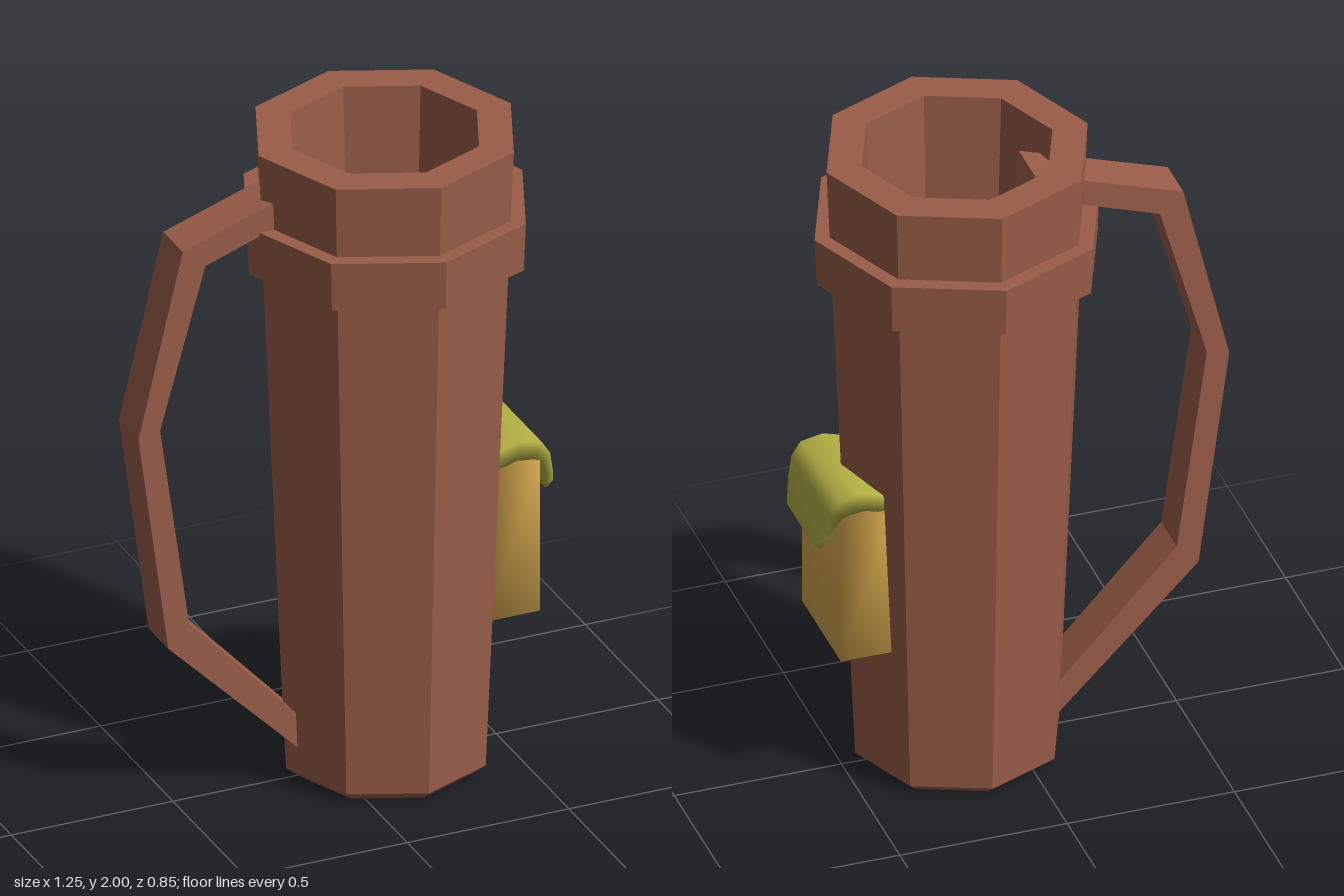
import * as THREE from 'three';
import { mergeVertices } from 'three/addons/utils/BufferGeometryUtils.js';

const v2 = ([x, y]) => new THREE.Vector2(x, y);

function part(name, geometry, material, parent) {
  const mesh = new THREE.Mesh(geometry, material);
  mesh.name = name;
  parent.add(mesh);
  return mesh;
}

// Octagonal turned shape with a corner on each axis
const octagon = (profile) => new THREE.LatheGeometry(profile.map(v2), 8);

// Box whose corners share their normals, for a soft stuffed look
function softBox(w, h, d) {
  const box = new THREE.BoxGeometry(w, h, d);
  box.deleteAttribute('normal');
  box.deleteAttribute('uv');
  const soft = mergeVertices(box);
  soft.computeVertexNormals();
  return soft;
}

// Curved flap from rows of [outer x, outer y, inner x, inner y, half width]
function flapGeometry(rows) {
  const positions = [], index = [];
  for (const [ox, oy, ix, iy, w] of rows) {
    positions.push(ox, oy, w, ox, oy, -w, ix, iy, -w, ix, iy, w);
  }
  for (let i = 0; i < rows.length - 1; i++) {
    for (let j = 0; j < 4; j++) {
      const a = i * 4 + j, b = i * 4 + (j + 1) % 4;
      index.push(a, a + 4, b, b, a + 4, b + 4);
    }
  }
  const e = (rows.length - 1) * 4;
  index.push(0, 1, 2, 0, 2, 3, e, e + 2, e + 1, e, e + 3, e + 2);
  const g = new THREE.BufferGeometry();
  g.setAttribute('position', new THREE.Float32BufferAttribute(positions, 3));
  g.setIndex(index);
  g.computeVertexNormals();
  return g;
}

export function createModel() {
  const brown = new THREE.MeshStandardMaterial({ color: 0x9a5d48 });
  brown.name = 'brown wood';
  brown.flatShading = true;
  const tan = new THREE.MeshStandardMaterial({ color: 0xd6a84e });
  tan.name = 'tan cloth';
  const olive = new THREE.MeshStandardMaterial({ color: 0xb4b044 });
  olive.name = 'olive cloth';
  olive.side = THREE.DoubleSide;

  const model = new THREE.Group();
  model.name = 'tankard';

  // Tapered hollow body with a chamfered foot
  const axis = 0.155;
  part('body', octagon([
    [0, 0], [0.27, 0], [0.305, 0.03], [0.39, 2],
    [0.285, 2], [0.22, 0.6], [0, 0.6],
  ]), brown, model).position.x = axis;

  // Raised band below the rim
  part('band', octagon([
    [0.36, 1.63], [0.42, 1.63], [0.426, 1.78], [0.36, 1.78],
  ]), brown, model).position.x = axis;

  // Angular handle, its upper end passing through the wall
  const handle = new THREE.ExtrudeGeometry(new THREE.Shape([
    [-0.045, 1.92], [-0.49, 1.77], [-0.627, 1.2], [-0.535, 0.515], [-0.08, 0.06],
    [-0.08, 0.16], [-0.47, 0.58], [-0.56, 1.215], [-0.42, 1.71], [-0.032, 1.845],
  ].map(v2)), { depth: 0.135, bevelEnabled: false });
  handle.translate(0, 0, -0.09);
  part('handle', handle, brown, model);

  // Pouch on the left side
  const pouch = new THREE.Group();
  pouch.name = 'pouch';
  model.add(pouch);
  part('pouchBag', softBox(0.16, 0.48, 0.335), tan, pouch).position.set(0.48, 0.7, 0);

  // Flap curling over the pouch, narrowing at its tip
  part('pouchFlap', flapGeometry([
    [0.372, 0.97, 0.372, 0.92, 0.167],
    [0.43, 0.99, 0.43, 0.935, 0.167],
    [0.50, 1.01, 0.49, 0.952, 0.167],
    [0.565, 0.997, 0.545, 0.945, 0.167],
    [0.592, 0.955, 0.57, 0.925, 0.167],
    [0.602, 0.89, 0.582, 0.885, 0.165],
    [0.625, 0.835, 0.602, 0.815, 0.112],
  ]), olive, pouch);

  return model;
}
